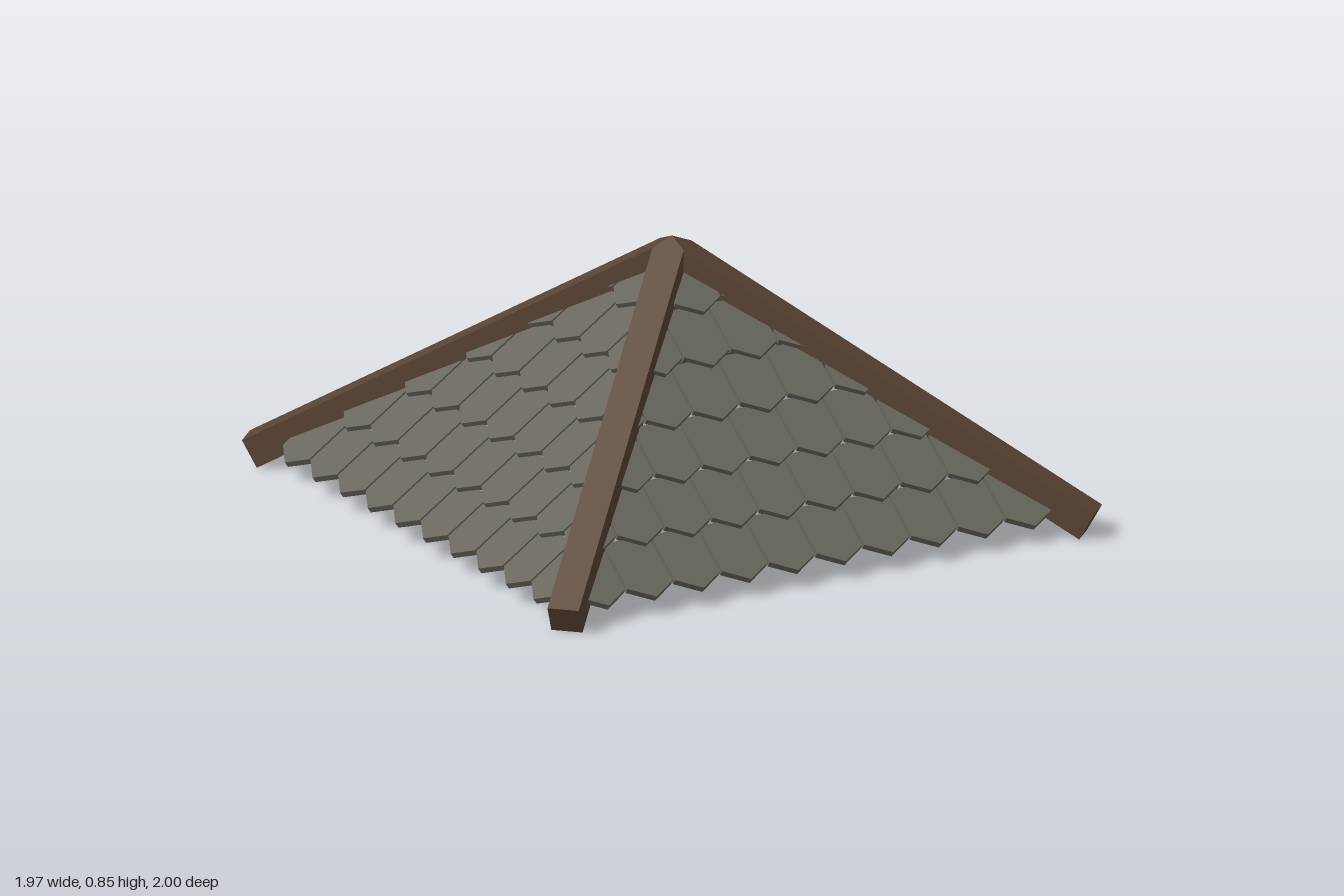
import * as THREE from 'three';

const slate = new THREE.MeshStandardMaterial({ color: 0x67655b, flatShading: true });
const wood = new THREE.MeshStandardMaterial({ color: 0x5a4334, flatShading: true });

// Keep the part of a convex outline where f(point) >= 0.
function clip(points, f) {
  const out = [];
  points.forEach((p, i) => {
    const q = points[(i + 1) % points.length];
    const a = f(p), b = f(q);
    if (a >= 0) out.push(p);
    if (a * b < 0) out.push(p.clone().lerp(q, a / (a - b)));
  });
  return out;
}

// One pointed shingle, cut along the hips; its tip lies at (c, tipY, tipZ).
function shingle(c, tipY, tipZ) {
  const half = 0.08, shoulder = 0.048, length = 0.23, thick = 0.02;
  const pitch = THREE.MathUtils.degToRad(34.2);
  let outline = [
    [c, 0], [c + half, shoulder], [c + half, length], [c - half, length], [c - half, shoulder],
  ].map(([u, v]) => new THREE.Vector2(u, v));
  for (const side of [1, -1]) {
    outline = clip(outline, (p) => tipZ - p.y * Math.cos(pitch) - side * p.x);
  }
  if (outline.length < 3) return null;
  const geo = new THREE.ExtrudeGeometry(new THREE.Shape(outline), { depth: thick, bevelEnabled: false });
  geo.translate(0, 0, -thick);
  geo.rotateX(pitch - Math.PI / 2);
  geo.translate(0, tipY, tipZ);
  const mesh = new THREE.Mesh(geo, slate);
  mesh.name = 'shingle';
  return mesh;
}

// One triangular roof face: six courses, each shifted sideways.
function roofFace(mirror) {
  const face = new THREE.Group();
  const step = 0.168;
  for (let row = 0; row < 6; row++) {
    const tipZ = 0.942 - 0.148 * row;
    const tipY = 0.062 + 0.1205 * row;
    for (let k = -7; k <= 7; k++) {
      const c = -0.1 + 0.053 * row + step * k;
      if (Math.abs(c) > tipZ - 0.05 && !(row === 5 && Math.abs(c) < 0.2)) continue;
      const tile = shingle(mirror * c, tipY, tipZ);
      if (tile) face.add(tile);
    }
  }
  return face;
}

// Hip beam: mitred at the peak, cut square at the eave.
function hipBeamGeometry() {
  const w = 0.05, len = 1.364, peak = 0.852, slope = 0.562, drop = 0.112, setback = 0.0477;
  const plan = new THREE.Shape(
    [[0, 0], [w, -w], [len, -w], [len, w], [w, w]].map(([s, t]) => new THREE.Vector2(s, t)),
  );
  const geo = new THREE.ExtrudeGeometry(plan, { depth: 1, bevelEnabled: false });
  geo.rotateX(-Math.PI / 2);
  const pos = geo.attributes.position;
  for (let i = 0; i < pos.count; i++) {
    const bottom = pos.getY(i) < 0.5;
    let s = pos.getX(i);
    if (bottom && s > 1) s -= setback;
    pos.setX(i, s);
    pos.setY(i, peak - slope * s - (bottom ? drop : 0));
  }
  geo.computeVertexNormals();
  return geo;
}

export function createModel() {
  const roof = new THREE.Group();
  roof.name = 'hippedRoof';

  // Four shingled faces
  ['frontShingles', 'leftShingles', 'backShingles', 'rightShingles'].forEach((name, i) => {
    const face = roofFace(i % 2 ? -1 : 1);
    face.name = name;
    face.rotation.y = i * Math.PI / 2;
    roof.add(face);
  });

  // Four hip beams meeting at the peak
  const beams = new THREE.Group();
  beams.name = 'hipBeams';
  const beamGeo = hipBeamGeometry();
  for (let i = 0; i < 4; i++) {
    const beam = new THREE.Mesh(beamGeo, wood);
    beam.name = 'hipBeam';
    beam.rotation.y = Math.PI / 4 + i * Math.PI / 2;
    beams.add(beam);
  }
  beams.scale.x = 0.984;
  roof.add(beams);
  return roof;
}
